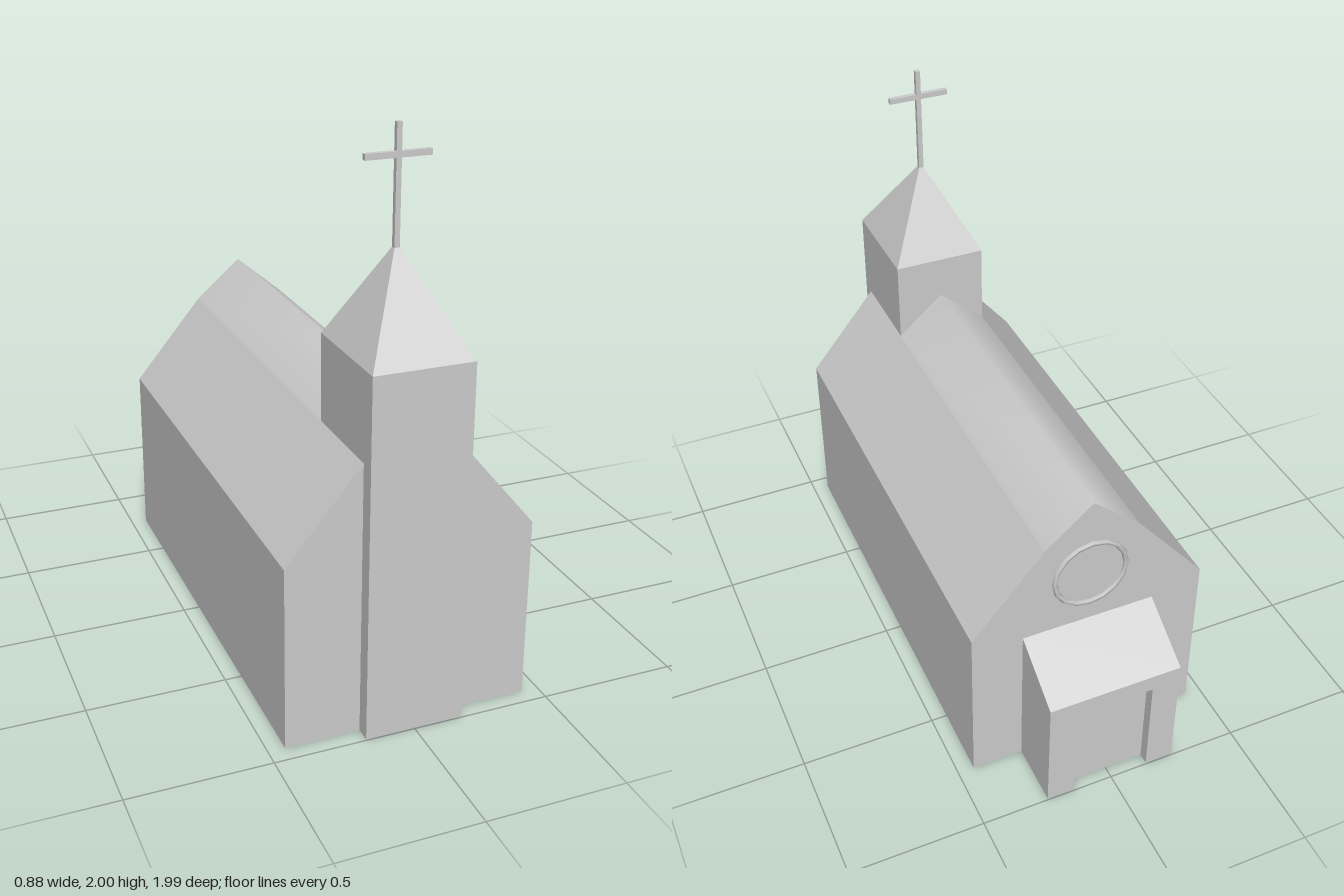
import * as THREE from 'three';

const material = new THREE.MeshStandardMaterial({ color: 0xcccccc, side: THREE.DoubleSide });

// Main dimensions
const NAVE = { x: 0.44, eave: 0.66, front: 0.94, back: -0.765 };
const TOWER = { x: 0.175, base: 0.98, top: 1.29, front: 0.995, back: 0.585 };
const RIDGE = 1.13;
const PORCH = { x: 0.25, high: 0.6, low: 0.465, back: -0.995 };
const DOOR = { x: 0.145, top: 0.4, z: -0.955 };

function add(group, name, geometry) {
  const mesh = new THREE.Mesh(geometry, material);
  mesh.name = name;
  group.add(mesh);
  return mesh;
}

const shapeOf = (points) => new THREE.Shape(points.map(([u, v]) => new THREE.Vector2(u, v)));

// Upright panel of [x, y] points, facing +z (dir 1) or -z (dir -1)
function crossPanel(group, name, points, z, dir) {
  const g = new THREE.ShapeGeometry(shapeOf(points.map(([x, y]) => [x * dir, y])));
  if (dir < 0) g.rotateY(Math.PI);
  add(group, name, g.translate(0, 0, z));
}

// Upright panel of [z, y] points, facing +x (dir 1) or -x (dir -1)
function sidePanel(group, name, points, x, dir) {
  const g = new THREE.ShapeGeometry(shapeOf(points.map(([z, y]) => [-dir * z, y])));
  add(group, name, g.rotateY((dir * Math.PI) / 2).translate(x, 0, 0));
}

// Surface between two lines of points, smooth along the line
function strip(group, name, a, b) {
  const g = new THREE.BufferGeometry();
  g.setAttribute('position', new THREE.Float32BufferAttribute([...a, ...b].flat(), 3));
  const index = [];
  const n = a.length;
  for (let i = 0; i < n - 1; i++) index.push(i, i + 1, n + i, i + 1, n + i + 1, n + i);
  g.setIndex(index);
  g.computeVertexNormals();
  add(group, name, g);
}

// Roof surface from an [x, y] profile running from -x to +x
function roof(group, name, profile, front, back) {
  strip(group, name, profile.map(([x, y]) => [x, y, front]), profile.map(([x, y]) => [x, y, back]));
}

const rect = (u0, u1, v0, v1) => [[u0, v0], [u1, v0], [u1, v1], [u0, v1]];

function createNave() {
  const nave = new THREE.Group();
  nave.name = 'nave';
  for (const s of [1, -1]) {
    const side = s > 0 ? 'left' : 'right';
    sidePanel(nave, side + 'Wall', rect(NAVE.back, NAVE.front, 0, NAVE.eave), s * NAVE.x, s);
    crossPanel(nave, side + 'FrontWall', [
      [s * TOWER.x, 0], [s * NAVE.x, 0], [s * NAVE.x, NAVE.eave], [s * TOWER.x, TOWER.base],
    ], NAVE.front, 1);
    const slope = [[s * TOWER.x, TOWER.base], [s * NAVE.x, NAVE.eave]];
    if (s < 0) slope.reverse();
    roof(nave, side + 'LowerRoof', slope, NAVE.front, NAVE.back);
  }
  // Upper roof stops against the tower
  roof(nave, 'upperRoof', [[-TOWER.x, TOWER.base], [0, RIDGE], [TOWER.x, TOWER.base]], TOWER.back, NAVE.back);
  // Back gable, open into the porch
  crossPanel(nave, 'backGable', [
    [PORCH.x, 0], [NAVE.x, 0], [NAVE.x, NAVE.eave], [TOWER.x, TOWER.base], [0, RIDGE],
    [-TOWER.x, TOWER.base], [-NAVE.x, NAVE.eave], [-NAVE.x, 0], [-PORCH.x, 0],
    [-PORCH.x, PORCH.high], [PORCH.x, PORCH.high],
  ], NAVE.back, -1);
  add(nave, 'roundWindowRim', new THREE.TorusGeometry(0.135, 0.01, 6, 16)).position.set(0, 0.815, NAVE.back);
  return nave;
}

function createTower() {
  const tower = new THREE.Group();
  tower.name = 'tower';
  const { x, base, top, front, back } = TOWER;
  crossPanel(tower, 'towerFront', rect(-x, x, 0, top), front, 1);
  crossPanel(tower, 'towerBack', [[-x, base], [0, RIDGE], [x, base], [x, top], [-x, top]], back, -1);
  for (const s of [1, -1]) {
    sidePanel(tower, s > 0 ? 'towerLeft' : 'towerRight', [
      [NAVE.front, 0], [front, 0], [front, top], [back, top], [back, base], [NAVE.front, base],
    ], s * x, s);
  }
  // Four-sided spire, its tip a little behind the middle
  const ring = (r, y, z0, z1) => [[-r, y, z1], [r, y, z1], [r, y, z0], [-r, y, z0]];
  const low = ring(x, top, back, front);
  const high = ring(0.008, 1.61, 0.755, 0.771);
  for (let i = 0; i < 4; i++) {
    const j = (i + 1) % 4;
    strip(tower, 'spireFace', [low[i], low[j]], [high[i], high[j]]);
  }
  // Cross
  add(tower, 'crossPost', new THREE.BoxGeometry(0.018, 0.4, 0.018)).position.set(0, 1.8, 0.763);
  add(tower, 'crossArm', new THREE.BoxGeometry(0.225, 0.02, 0.018)).position.set(0, 1.9, 0.763);
  return tower;
}

function createPorch() {
  const porch = new THREE.Group();
  porch.name = 'porch';
  const { x, high, low, back } = PORCH;
  strip(porch, 'porchRoof',
    [[-x, high, NAVE.back], [x, high, NAVE.back]], [[-x, low, back], [x, low, back]]);
  for (const s of [1, -1]) {
    sidePanel(porch, 'porchSide', [[NAVE.back, 0], [NAVE.back, high], [back, low], [back, 0]], s * x, s);
    sidePanel(porch, 'doorJamb', rect(back, DOOR.z, 0, DOOR.top), s * DOOR.x, -s);
  }
  crossPanel(porch, 'porchBack', [
    [DOOR.x, 0], [x, 0], [x, low], [-x, low], [-x, 0], [-DOOR.x, 0],
    [-DOOR.x, DOOR.top], [DOOR.x, DOOR.top],
  ], back, -1);
  // Recessed door
  strip(porch, 'doorLintel',
    [[-DOOR.x, DOOR.top, back], [DOOR.x, DOOR.top, back]],
    [[-DOOR.x, DOOR.top, DOOR.z], [DOOR.x, DOOR.top, DOOR.z]]);
  crossPanel(porch, 'door', rect(-DOOR.x, DOOR.x, 0, DOOR.top), DOOR.z, -1);
  return porch;
}

export function createModel() {
  const church = new THREE.Group();
  church.name = 'church';
  church.add(createNave(), createTower(), createPorch());
  return church;
}
